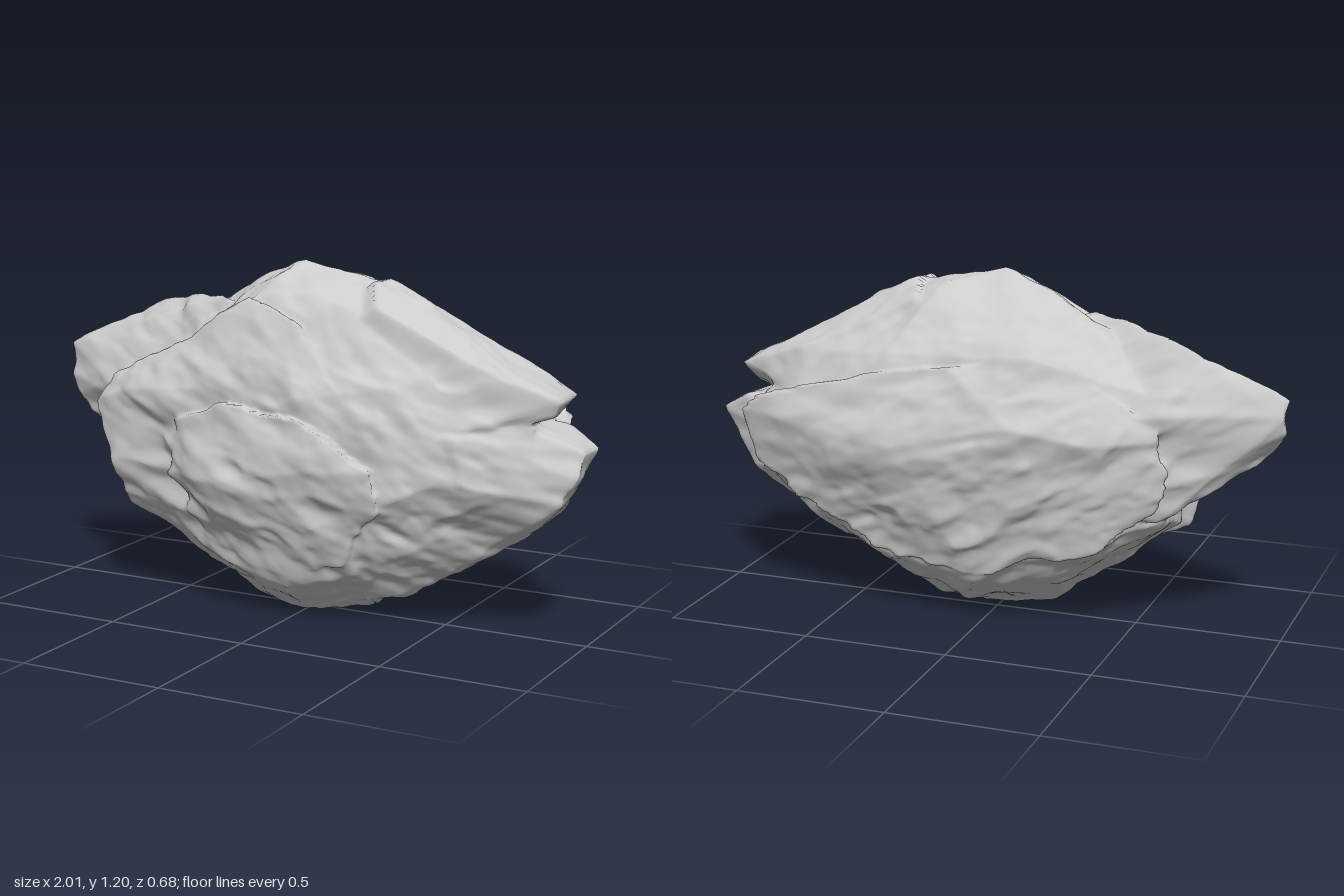
import * as THREE from 'three';
import { mergeVertices } from 'three/addons/utils/BufferGeometryUtils.js';
import { ConvexGeometry } from 'three/addons/geometries/ConvexGeometry.js';

const CENTRE = new THREE.Vector3(0, 0.6, 0);

// Corner points of the overlapping slabs that make up the boulder
const SLABS = {
  core: [
    [-.03, 1.225, 0], [-.22, 1.14, -.04], [.27, 1.17, 0], [.15, 1.17, -.08], [-.15, 1.1, .15], [.08, 1.12, .14],
    [.64, .92, .12], [.65, .91, -.14], [.84, .74, .1], [.85, .7, -.13], [.8, .5, .12], [.8, .5, -.14],
    [.74, .33, .02], [.72, .34, -.07], [.58, .25, .06], [.38, .11, .04], [.2, .04, 0], [0, .005, .05],
    [-.2, .05, .04], [-.4, .19, .04], [-.62, .36, .1], [-.62, .42, -.1], [-.68, .85, -.02], [-.62, .85, -.15],
    [-.6, .72, .2], [-.42, .6, .28], [0, .13, .21], [-.3, .22, .18], [.25, .2, .19], [.55, .55, .23],
    [.4, .85, .22], [-.1, .93, .24], [.1, .8, .29], [.1, .35, .29],
    [-.2, .96, -.24], [.3, .95, -.25], [.2, 1.1, -.14], [-.15, .7, -.32], [.25, .65, -.33], [.65, .65, -.27],
    [.4, .25, -.18], [0, .2, -.22], [-.4, .33, -.18], [.08, .07, -.09],
  ],
  frontSlab: [
    [-.76, .7, .17], [-.68, .8, .15], [-.74, .68, .12], [-.64, .34, .15], [-.66, .5, .23], [-.6, .76, .24],
    [-.14, 1.1, .19], [-.2, 1.06, .2], [.06, 1.03, .21], [.2, .85, .25], [-.3, .8, .29], [.3, .6, .26],
    [.3, .2, .1], [0, .14, .2], [-.3, .14, .1], [0, .6, -.2],
  ],
  frontBoss: [
    [-.44, .5, .27], [-.38, .68, .28], [-.2, .78, .31], [.12, .74, .32], [.15, .57, .34], [-.2, .5, .33],
    [.36, .58, .29], [.36, .42, .26], [.22, .24, .22], [-.02, .18, .22], [-.32, .28, .2], [0, .6, -.2],
  ],
  rightWing: [
    [-1, .85, -.04], [-.98, .67, 0], [-1, .8, -.07], [-.65, 1.02, -.1], [-.68, .46, .02], [-.7, .9, .03],
    [-.3, 1.08, .05], [-.75, .74, .09], [-.62, .8, -.2], [-.6, .42, -.14], [.3, .6, .05], [.3, .6, -.1], [0, .4, 0],
  ],
  backSlab: [
    [.85, .62, -.2], [.83, .72, -.27], [.8, .5, -.23], [.7, .8, -.28], [.25, .65, -.34], [-.15, .75, -.33],
    [-.4, .7, -.28], [-.65, .72, -.2], [-.6, .48, -.17], [-.4, .34, -.19], [0, .2, -.22], [.4, .26, -.2],
    [.1, .94, -.27], [-.3, .95, -.2], [.2, .6, .2], [-.1, .6, .15],
  ],
  upperLeftSlab: [
    [.93, .83, .1], [.93, .83, -.08], [.9, .78, .09], [.88, .77, -.06], [.27, 1.18, -.02], [.25, 1.17, .05],
    [.64, .94, .15], [.64, .93, -.16], [.3, 1.09, .14], [.25, 1.11, -.12], [.6, .72, .18], [.6, .75, -.2],
    [-.2, .6, .12], [-.2, .6, -.12], [0, .5, 0],
  ],
  lowerLeftTip: [
    [1, .67, .05], [.99, .66, -.06], [.94, .5, .1], [.9, .46, .04], [.9, .46, -.06], [.74, .32, 0],
    [.64, .55, .2], [.6, .7, .2], [.85, .72, .08], [.88, .72, -.1], [.58, .25, .05], [.6, .5, -.2],
    [-.2, .6, .1], [-.2, .6, -.1], [0, .8, 0],
  ],
};

// Face planes of a slab's convex hull, as normal and offset from the centre
function slabPlanes(points) {
  const hull = new ConvexGeometry(points.map(p => new THREE.Vector3(...p).sub(CENTRE)));
  const p = hull.attributes.position, planes = [];
  const tri = new THREE.Triangle();
  for (let i = 0; i < p.count; i += 3) {
    tri.setFromAttributeAndIndices(p, i, i + 1, i + 2);
    if (tri.getArea() < 1e-6) continue;
    const n = tri.getNormal(new THREE.Vector3());
    planes.push({ n, c: n.dot(tri.a) });
  }
  return planes;
}

// Smooth lattice noise in -1..1
function hash(x, y, z) {
  let h = Math.imul(x, 374761393) ^ Math.imul(y, 668265263) ^ Math.imul(z, 1274126177);
  h = Math.imul(h ^ (h >>> 13), 1103515245);
  return ((h ^ (h >>> 16)) >>> 0) / 2147483648 - 1;
}
function noise(x, y, z) {
  const i = Math.floor(x), j = Math.floor(y), k = Math.floor(z);
  const s = t => t * t * (3 - 2 * t), mix = THREE.MathUtils.lerp;
  const u = s(x - i), v = s(y - j), w = s(z - k);
  const row = (b, c) => mix(hash(i, b, c), hash(i + 1, b, c), u);
  return mix(mix(row(j, k), row(j + 1, k), v), mix(row(j, k + 1), row(j + 1, k + 1), v), w);
}

// Weathering: broad creased dents, streaks along the grain and fine pits
function weathering(p) {
  const g = p.y + p.x * 0.35;
  return 0.012 * noise(p.x * 4 + 7, g * 6, p.z * 6)
    + 0.014 * (0.4 - Math.abs(noise(p.x * 5 + 3, g * 8 + 5, p.z * 7)))
    + 0.007 * noise(p.x * 9, g * 16 + 3, p.z * 13)
    + 0.003 * noise(p.x * 22, g * 32, p.z * 28 + 5)
    - 0.03 * Math.max(0, noise(p.x * 6 + 2, g * 9 + 1, p.z * 5) - 0.45);
}

// Larger of two reaches, rounded slightly where they meet
function softMax(a, b) {
  const k = 0.03, h = Math.max(k - Math.abs(a - b), 0) / k;
  return Math.max(a, b) + h * h * k / 4;
}

function rockGeometry() {
  const slabs = Object.values(SLABS).map(slabPlanes);
  let geo = new THREE.IcosahedronGeometry(1, 60);
  geo.deleteAttribute('uv');
  geo.deleteAttribute('normal');
  geo = mergeVertices(geo, 1e-5);
  const pos = geo.attributes.position, d = new THREE.Vector3();
  for (let i = 0; i < pos.count; i++) {
    d.fromBufferAttribute(pos, i);
    d.set(d.x * 0.95, d.y * 0.6, d.z * 0.36);
    const rough = weathering(d);
    // Push each point out to the farthest slab surface along its ray
    let reach = 0;
    for (const planes of slabs) {
      let exit = Infinity;
      for (const { n, c } of planes) {
        const slope = n.dot(d);
        if (slope > 1e-4) exit = Math.min(exit, (c + rough) / slope);
      }
      reach = softMax(reach, exit);
    }
    d.multiplyScalar(reach).add(CENTRE);
    pos.setXYZ(i, d.x, d.y, d.z);
  }
  // Stand the rock on the ground
  geo.computeBoundingBox();
  geo.translate(0, -geo.boundingBox.min.y, 0);
  geo.computeVertexNormals();
  return geo;
}

export function createModel() {
  const group = new THREE.Group();
  group.name = 'boulder';
  const rock = new THREE.Mesh(rockGeometry(), new THREE.MeshStandardMaterial({ color: 0xcccccc }));
  rock.name = 'rock';
  group.add(rock);
  return group;
}
